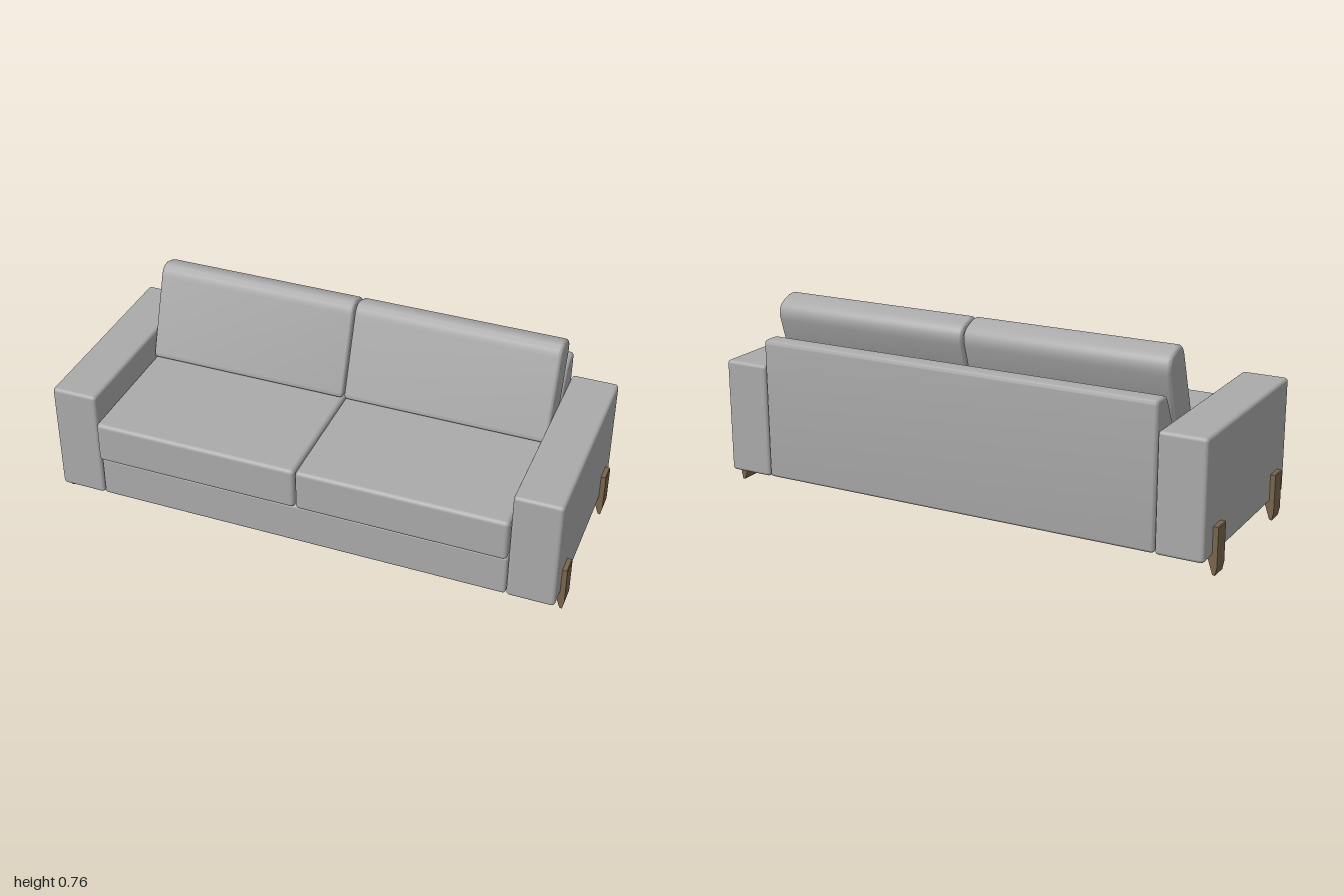
import * as THREE from 'three';
import { toCreasedNormals } from 'three/addons/utils/BufferGeometryUtils.js';
import { RoundedBoxGeometry } from 'three/addons/geometries/RoundedBoxGeometry.js';

// Closed side profile from corners [z, y, cut]; each corner is rounded over its cut length.
function roundedProfile(corners) {
  const shape = new THREE.Shape();
  const n = corners.length;
  const along = (a, b, d) => {
    const l = Math.hypot(b[0] - a[0], b[1] - a[1]);
    return [a[0] + (b[0] - a[0]) * d / l, a[1] + (b[1] - a[1]) * d / l];
  };
  corners.forEach((c, i) => {
    const start = along(c, corners[(i + n - 1) % n], c[2]);
    const end = along(c, corners[(i + 1) % n], c[2]);
    if (i === 0) shape.moveTo(...start);
    else shape.lineTo(...start);
    shape.quadraticCurveTo(c[0], c[1], ...end);
  });
  shape.closePath();
  return shape;
}

// Side profile swept across x between x0 and x1, with softened ends.
function sweepAcross(corners, x0, x1, bevel) {
  const geometry = new THREE.ExtrudeGeometry(roundedProfile(corners), {
    depth: x1 - x0 - 2 * bevel, curveSegments: 8,
    bevelEnabled: true, bevelThickness: bevel, bevelSize: bevel, bevelOffset: -bevel, bevelSegments: 4,
  });
  geometry.rotateY(-Math.PI / 2);
  geometry.translate(x1 - bevel, 0, 0);
  return toCreasedNormals(geometry, 0.6);
}

// Rounded block given by its limits on each axis.
function block([x0, x1], [y0, y1], [z0, z1], radius) {
  const geometry = new RoundedBoxGeometry(x1 - x0, y1 - y0, z1 - z0, 4, radius);
  geometry.translate((x0 + x1) / 2, (y0 + y1) / 2, (z0 + z1) / 2);
  return geometry;
}

export function createModel() {
  const sofa = new THREE.Group();
  sofa.name = 'sofa';
  const fabric = new THREE.MeshStandardMaterial({ color: 0xaaaaaa });
  fabric.name = 'grey fabric';
  const wood = new THREE.MeshStandardMaterial({ color: 0x79664c });
  wood.name = 'brown wood';

  const add = (name, geometry, material) => {
    const mesh = new THREE.Mesh(geometry, material);
    mesh.name = name;
    sofa.add(mesh);
  };

  // Base and sloped backrest frame
  add('base', block([-0.8, 0.8], [0.07, 0.236], [-0.36, 0.392], 0.012), fabric);
  add('backrest', sweepAcross([
    [-0.41, 0.07, 0.015], [-0.2, 0.07, 0.01], [-0.215, 0.4, 0.01],
    [-0.329, 0.615, 0.025], [-0.41, 0.615, 0.018],
  ], -0.8, 0.8, 0.012), fabric);

  // Back cushion: leaning, with a rounded top
  const cushionProfile = [
    [-0.225, 0.408, 0.012], [-0.07, 0.408, 0.025],
    [-0.2, 0.776, 0.058], [-0.327, 0.728, 0.06],
  ];

  // Leg: slim plate on the arm's outside with a wedge foot tucked underneath
  const legShape = new THREE.Shape([
    [0.976, 0.178], [0.976, 0.07], [0.962, 0.07], [0.984, 0.003],
    [0.994, 0], [1, 0.03], [1, 0.174], [0.997, 0.178],
  ].map(([x, y]) => new THREE.Vector2(x, y)));

  for (const side of [-1, 1]) {
    const label = side > 0 ? 'left' : 'right';
    const span = (a, b) => (side > 0 ? [a, b] : [-b, -a]);

    add(`${label}Arm`, block(span(0.802, 0.981), [0.068, 0.512], [-0.41, 0.393], 0.014), fabric);
    add(`${label}SeatCushion`, block(span(0.002, 0.8), [0.239, 0.406], [-0.24, 0.411], 0.016), fabric);
    add(`${label}BackCushion`, sweepAcross(cushionProfile, ...span(0.003, 0.8), 0.014), fabric);

    for (const [end, z] of [['Front', 0.279], ['Back', -0.295]]) {
      const leg = new THREE.ExtrudeGeometry(legShape, { depth: 0.07, bevelEnabled: false });
      leg.translate(0, 0, -0.035);
      if (side < 0) leg.rotateY(Math.PI);
      leg.translate(0, 0, z);
      add(`${label}${end}Leg`, leg, wood);
    }
  }
  return sofa;
}
